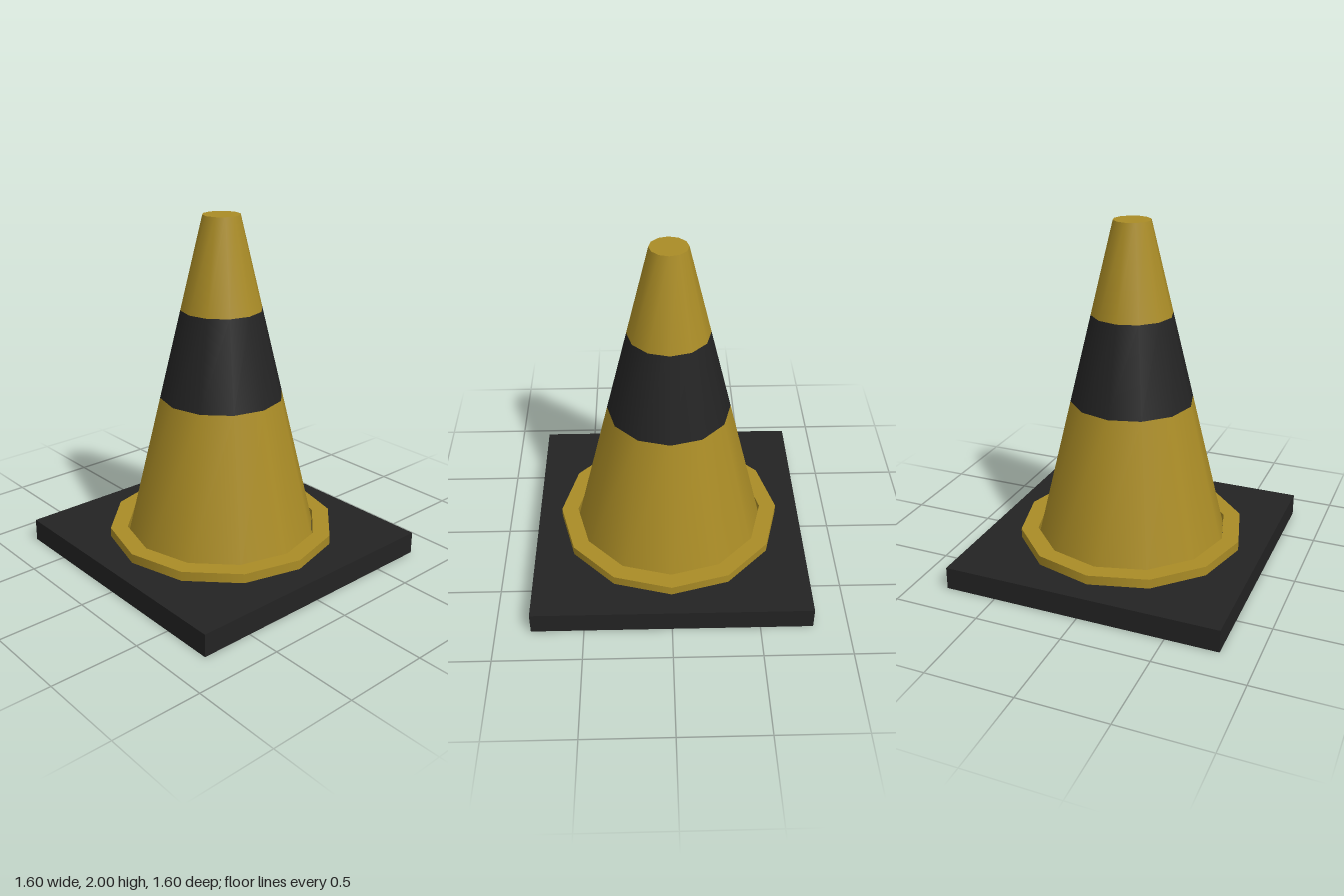
import * as THREE from 'three';

const SIDES = 12;

export function createModel() {
  const yellow = new THREE.MeshStandardMaterial({ color: 0xaa8c26, side: THREE.DoubleSide });
  yellow.name = 'ochreYellow';
  const black = new THREE.MeshStandardMaterial({ color: 0x232323, side: THREE.DoubleSide });
  black.name = 'rubberBlack';

  const model = new THREE.Group();
  model.name = 'trafficCone';

  const add = (name, geometry, material, y, parent = model) => {
    const mesh = new THREE.Mesh(geometry, material);
    mesh.name = name;
    mesh.position.y = y;
    parent.add(mesh);
    return mesh;
  };

  // Open ring of wall between two heights, smooth shaded
  const wall = (name, material, rLow, yLow, rHigh, yHigh, parent) =>
    add(name, new THREE.CylinderGeometry(rHigh, rLow, yHigh - yLow, SIDES, 1, true),
      material, (yLow + yHigh) / 2, parent);

  // Square foot, hollow underneath: a box without its bottom face
  const foot = new THREE.BoxGeometry(1.6, 0.13, 1.6);
  const faces = Array.from(foot.index.array);
  faces.splice(18, 6);
  foot.setIndex(faces);
  foot.clearGroups();
  add('base', foot, black, 0.065);

  // Collar around the foot of the cone, with a small gap inside
  const collar = new THREE.Group();
  collar.name = 'collar';
  model.add(collar);
  wall('collarOuterWall', yellow, 0.66, 0.13, 0.66, 0.185, collar);
  wall('collarInnerWall', yellow, 0.56, 0.13, 0.56, 0.185, collar);
  add('collarTop', new THREE.RingGeometry(0.56, 0.66, SIDES).rotateX(-Math.PI / 2), yellow, 0.185, collar);

  // Tapered body in three flush sections
  const radiusAt = (y) => 0.558 + (0.105 - 0.558) * (y - 0.13) / 1.87;
  const sections = [
    ['lowerCone', yellow, 0.13, 0.977],
    ['darkBand', black, 0.977, 1.48],
    ['upperCone', yellow, 1.48, 2],
  ];
  for (const [name, material, y0, y1] of sections) {
    wall(name, material, radiusAt(y0), y0, radiusAt(y1), y1, model);
  }

  // Flat closed tip
  add('tip', new THREE.CircleGeometry(0.105, SIDES).rotateX(-Math.PI / 2), yellow, 2);

  return model;
}
